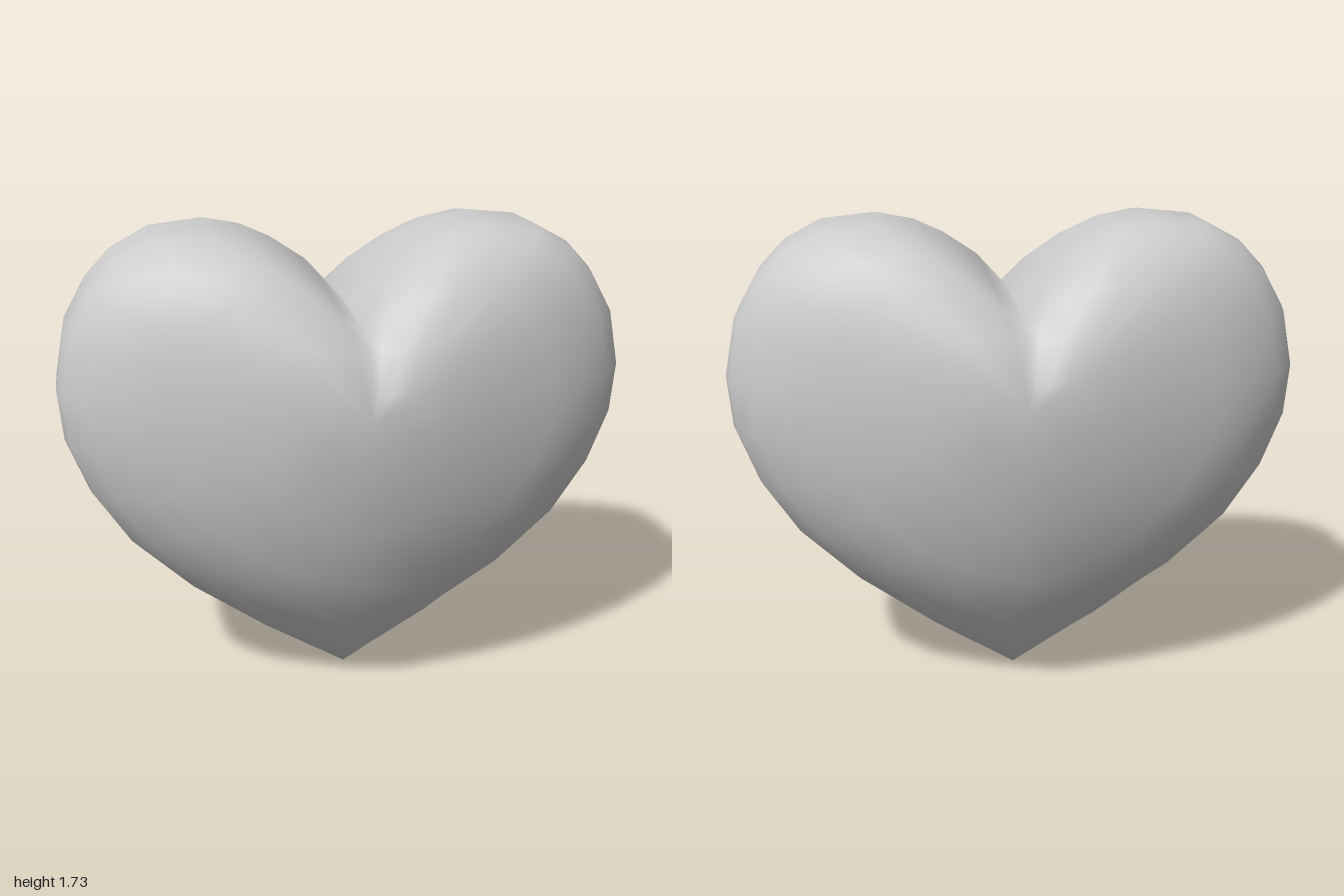
import * as THREE from 'three';

const CENTRE_Y = 1.15;
const LOBE_X = 0.47;
const LOBE_TOP = 1.725 - CENTRE_Y;

// Right half of the heart outline, from the cleft down to the tip
const HALF = [
  [0, 1.45], [0.11, 1.57], [0.23, 1.65], [0.34, 1.7], [LOBE_X, 1.725], [0.66, 1.705],
  [0.79, 1.635], [0.88, 1.54], [0.96, 1.4], [1, 1.2], [0.985, 1.02], [0.91, 0.82],
  [0.78, 0.61], [0.57, 0.4], [0.3, 0.195], [0, 0],
];

// Cross-sections from the rim to the front:
// z, scale sideways, upwards, downwards, rounding of the tip, filling of the cleft, hollow between the lobes
const RINGS = [
  [0, 1, 1, 1, 0, 0, 0],
  [0.05, 1, 1, 0.985, 0.05, 0, 0],
  [0.1, 1, 1, 0.95, 0.1, 0, 0],
  [0.18, 0.98, 0.98, 0.865, 0.28, 0, 0],
  [0.26, 0.91, 0.925, 0.77, 0.45, 0.03, 0],
  [0.33, 0.8, 0.84, 0.69, 0.55, 0.1, 0],
  [0.4, 0.66, 0.69, 0.565, 0.7, 0.3, 0.01],
  [0.49, 0.35, 0.41, 0.365, 0.8, 0.9, 0.03],
  [0.535, 0.18, 0.17, 0.1, 0.9, 1, 0.025],
];
const POLE_Z = 0.518;

// Places one outline point on a cross-section
function ringPoint([x, y], [z, side, up, down, round, fill, hollow]) {
  const dy = y - CENTRE_Y;
  if (dy < 0) {
    const ellipse = -CENTRE_Y * Math.sqrt(1 - x * x);
    return [x * side, CENTRE_Y + THREE.MathUtils.lerp(dy, ellipse, round) * down, z];
  }
  const inner = Math.max(0, 1 - Math.abs(x) / LOBE_X);
  const height = inner > 0 ? THREE.MathUtils.lerp(dy, LOBE_TOP, fill) : dy;
  return [x * side, CENTRE_Y + height * up, z - hollow * inner];
}

function heartGeometry() {
  const mirrored = HALF.slice(1, -1).reverse().map(([x, y]) => [-x, y]);
  const outline = [...HALF, ...mirrored];
  const n = outline.length;

  // Front half, then its mirror image behind the rim
  const half = RINGS.map((ring) => outline.map((point) => ringPoint(point, ring)));
  const rings = [
    ...half.slice(1).reverse(),
    ...half.map((ring) => ring.map(([x, y, z]) => [x, y, -z])),
  ];
  const positions = rings.flat(2);
  const front = rings.length * n;
  const back = front + 1;
  positions.push(0, CENTRE_Y, POLE_Z, 0, CENTRE_Y, -POLE_Z);

  // Skin between the rings, closed by a fan at each end
  const index = [];
  const last = (rings.length - 1) * n;
  for (let i = 0; i < n; i++) {
    const k = (i + 1) % n;
    index.push(front, k, i, back, last + i, last + k);
    for (let j = 0; j < last; j += n) {
      index.push(j + i, j + k, j + n + i, j + k, j + n + k, j + n + i);
    }
  }

  const geometry = new THREE.BufferGeometry();
  geometry.setAttribute('position', new THREE.Float32BufferAttribute(positions, 3));
  geometry.setIndex(index);
  geometry.computeVertexNormals();
  return geometry;
}

export function createModel() {
  const group = new THREE.Group();
  group.name = 'heart';
  const body = new THREE.Mesh(
    heartGeometry(),
    new THREE.MeshStandardMaterial({ color: 0xcccccc }),
  );
  body.name = 'heartBody';
  group.add(body);
  return group;
}
